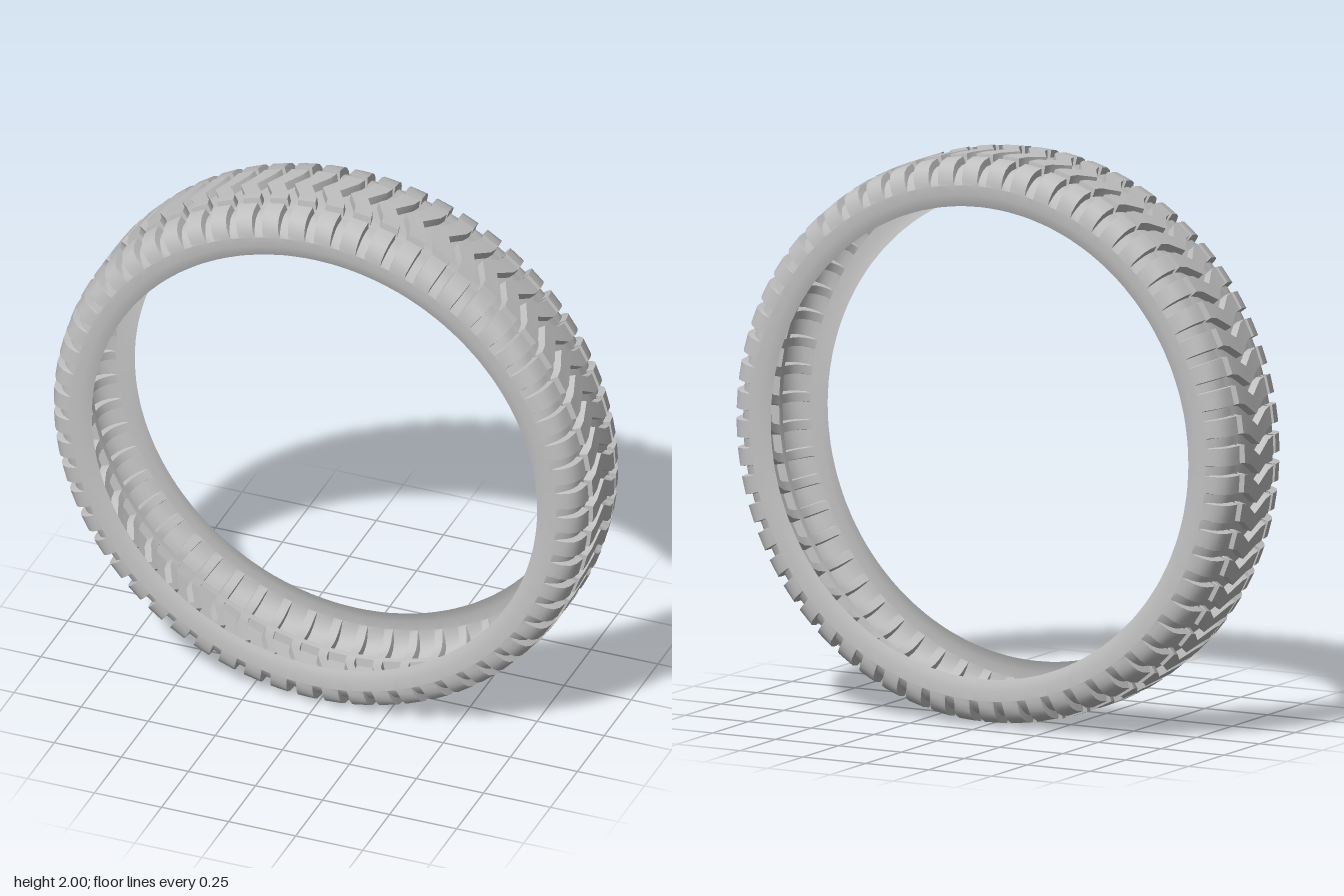
import * as THREE from 'three';
import { toCreasedNormals } from 'three/addons/utils/BufferGeometryUtils.js';

const PITCHES = 60;    // tread blocks around the tyre
const GROOVE = 0.32;   // share of each pitch taken by the cross groove

// Half profile from crown to bead: [z, radius, cross-groove depth, chevron shift]
const half = [
  [0, 1.0, 0.03, 0.5],
  [0.065, 1.0, 0.03, 0.08],
  [0.1, 0.999, 0.03, 0],
  [0.103, 0.968, 0, 0],
  [0.123, 0.966, 0, 0],
  [0.126, 0.993, 0.027, 0],
  [0.165, 0.986, 0.027, 0],
  [0.19, 0.972, 0.025, 0],
  [0.205, 0.95, 0.018, 0],
  [0.212, 0.925, 0.008, 0],
  [0.214, 0.905, 0, 0],
  [0.212, 0.87, 0, 0],
  [0.207, 0.847, 0, 0],
  [0.2, 0.83, 0, 0],
];

// Mirror the half profile into a full bead-to-bead section
const section = [
  ...half.slice(1).reverse().map(([z, r, d, s]) => [-z, r, d, s]),
  ...half,
];

// Steps around one pitch: [phase, 1 when in the groove]
const steps = [
  [0, 1],
  [GROOVE, 1],
  [GROOVE + 0.03, 0],
  [0.97, 0],
];

// Moves a section point inwards by its groove depth
function sink(z, r, depth) {
  const dz = Math.abs(z) > 0.11 ? Math.sign(z) * 0.1 - z : 0;
  const dr = 0.9 - r;
  const len = Math.hypot(dz, dr) || 1;
  return [z + (dz / len) * depth, r + (dr / len) * depth];
}

function tyreGeometry() {
  const cols = PITCHES * steps.length;
  const positions = [];
  const index = [];
  section.forEach(([z, r, depth, shift], row) => {
    for (let c = 0; c < cols; c++) {
      const [phase, low] = steps[c % steps.length];
      const pitch = Math.floor(c / steps.length);
      const a = ((pitch + phase + shift) / PITCHES) * Math.PI * 2;
      const [pz, pr] = sink(z, r, depth * low);
      positions.push(Math.cos(a) * pr, Math.sin(a) * pr, pz);
      if (row < section.length - 1) {
        const p = row * cols + c;
        const q = row * cols + ((c + 1) % cols);
        index.push(p, q, p + cols, q, q + cols, p + cols);
      }
    }
  });
  const geometry = new THREE.BufferGeometry();
  geometry.setAttribute('position', new THREE.Float32BufferAttribute(positions, 3));
  geometry.setIndex(index);
  return toCreasedNormals(geometry, 0.55);
}

export function createModel() {
  const group = new THREE.Group();
  group.name = 'tyre';

  const rubber = new THREE.MeshStandardMaterial({ color: 0xc0c0c0, side: THREE.DoubleSide });
  rubber.name = 'grey rubber';

  // Open shell with chevron rib, shoulder blocks and sidewalls
  const shell = new THREE.Mesh(tyreGeometry(), rubber);
  shell.name = 'treadedTyreShell';
  shell.position.y = 1;
  group.add(shell);

  return group;
}
